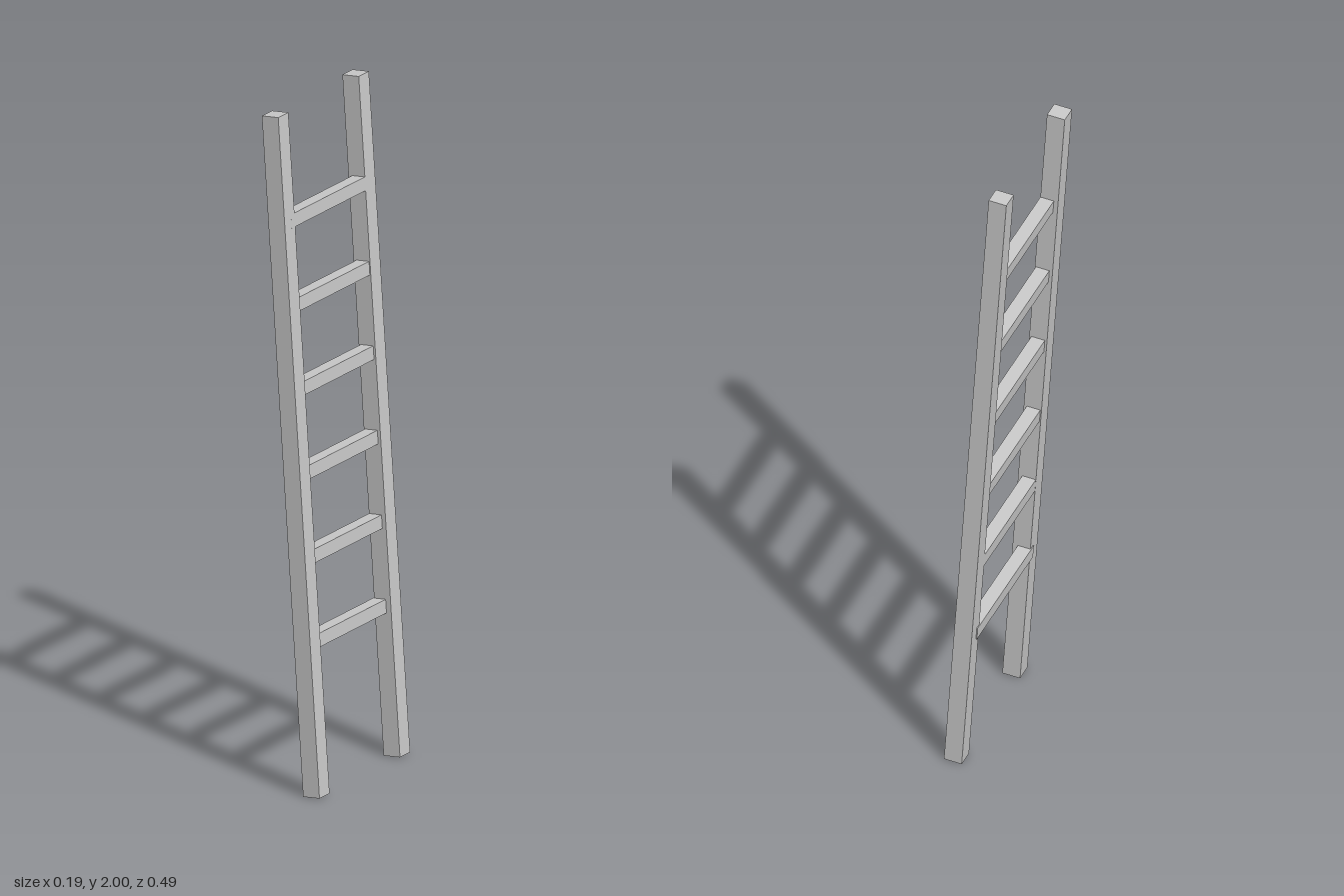
import * as THREE from 'three';

export function createModel() {
  const model = new THREE.Group();
  model.name = 'ladder';
  const material = new THREE.MeshStandardMaterial({ color: 0xcccccc, flatShading: true });
  const lean = 0.068; // the top leans towards -x

  function addBeam(name, width, height, depth, x, y, z) {
    const beam = new THREE.Mesh(new THREE.BoxGeometry(width, height, depth), material);
    beam.name = name;
    beam.position.set(x, y, z);
    beam.rotation.z = lean;
    model.add(beam);
  }

  // Two square side rails
  addBeam('frontRail', 0.054, 2.001, 0.055, 0, 1, 0.2195);
  addBeam('backRail', 0.054, 2.001, 0.055, 0, 1, -0.2195);

  // Six evenly spaced rungs, let into the rails
  const rungs = 6;
  for (let i = 0; i < rungs; i++) {
    const t = i / (rungs - 1);
    const x = THREE.MathUtils.lerp(0.0285, -0.04, t);
    const y = THREE.MathUtils.lerp(0.443, 1.684, t);
    addBeam(`rung${i + 1}`, 0.041, 0.04, 0.422, x, y, 0);
  }
  return model;
}
